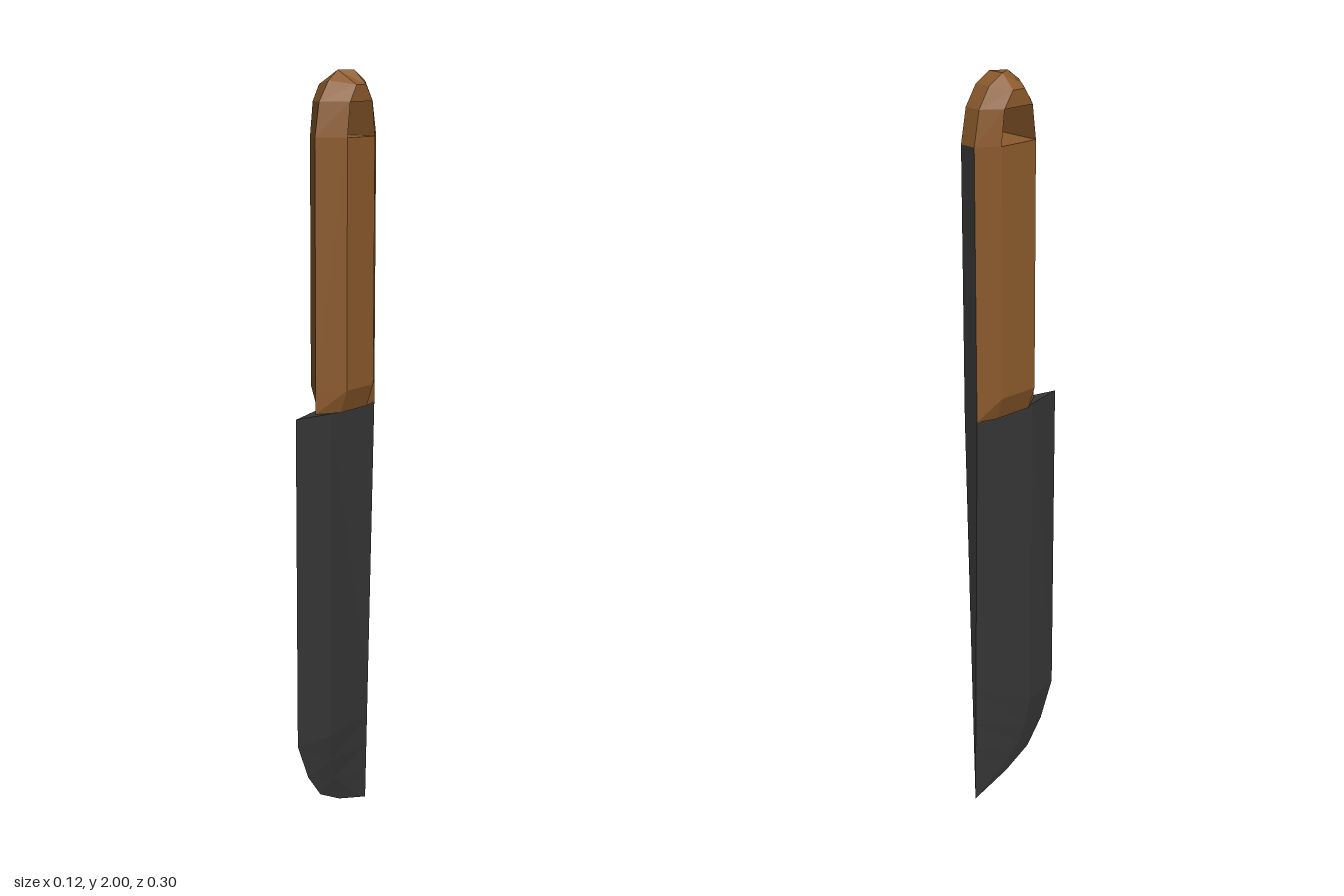
import * as THREE from 'three';

const wood = new THREE.MeshStandardMaterial({ color: 0x8b5a2b, flatShading: true });
const steel = new THREE.MeshStandardMaterial({ color: 0x363636, flatShading: true });

// Moves a point onto the middle plane.
const mid = (p) => [0, p[1], p[2]];

// Builds a mesh from convex polygons of the +x half and their mirror image.
function mirroredMesh(name, material, polygons) {
  const pos = [];
  for (const side of [1, -1]) {
    for (const poly of polygons) {
      const pts = poly.map(([x, y, z]) => [x * side, y, z]);
      if (side < 0) pts.reverse();
      for (let i = 1; i < pts.length - 1; i++) pos.push(...pts[0], ...pts[i], ...pts[i + 1]);
    }
  }
  const geo = new THREE.BufferGeometry();
  geo.setAttribute('position', new THREE.Float32BufferAttribute(pos, 3));
  geo.computeVertexNormals();
  const mesh = new THREE.Mesh(geo, material);
  mesh.name = name;
  return mesh;
}

export function createModel() {
  const group = new THREE.Group();
  group.name = 'knife';

  // Handle outline, up the front, over the rounded end and down the back: [x, y, z]
  const w = 0.023, h = 0.059;
  const O = [
    [0, 1.15, 0.069], [0, 1.21, 0.069], [0, 1.84, 0.069], [0, 1.925, 0.053],
    [0, 1.975, 0.016], [0, 2, -0.02], [w, 2, -0.058], [w, 1.975, -0.1],
    [w, 1.925, -0.132], [w, 1.84, -0.148], [w, 1.21, -0.148], [w, 1.15, -0.148],
  ];
  // Border of the flat side face, matching the outline point by point
  const I = [
    [0.038, 1.15, 0.016], [h, 1.21, 0.016], [h, 1.84, 0.016], [h, 1.925, 0.005],
    [h, 1.965, -0.02], [h, 1.965, -0.02], [h, 1.965, -0.058], [h, 1.965, -0.058],
    [h, 1.925, -0.085], [h, 1.84, -0.095], [h, 1.21, -0.095], [0.038, 1.15, -0.095],
  ];
  const grip = [], tang = [];
  for (let i = 0; i < O.length - 1; i++) {
    // Bevel
    grip.push([O[i], I[i], I[i + 1], O[i + 1]]);
    // Back rim: wood around the end, metal spine below it
    if (i >= 5) (i >= 9 ? tang : grip).push([O[i], O[i + 1], mid(O[i + 1]), mid(O[i])]);
  }
  grip.push(
    // Flat side, below and above the hole
    [I[0], I[11], I[10], I[1]], [I[1], I[10], I[9], I[2]], [I[3], I[8], I[6], I[5]],
    // Hole walls: bottom, top, front, back
    [I[2], I[9], mid(I[9]), mid(I[2])], [mid(I[3]), mid(I[8]), I[8], I[3]],
    [I[3], I[2], mid(I[2]), mid(I[3])], [mid(I[8]), mid(I[9]), I[9], I[8]],
    // Underside
    [mid(O[11]), O[11], I[11], I[0], O[0]],
  );
  group.add(mirroredMesh('handle', wood, grip), mirroredMesh('handleSpine', steel, tang));

  // Blade rows from the handle to the tip: cutting edge, widest line and spine
  const E = [[0, 1.15, 0.148], [0, 0.26, 0.148], [0, 0.155, 0.105], [0, 0.085, 0.053], [0, 0.04, -0.03], [0, 0, -0.148]];
  const R = [[0.026, 1.15, 0.04], [0.024, 0.26, 0.04], [0.016, 0.18, 0.03], [0.009, 0.12, 0.01], [0.004, 0.06, -0.06], [0, 0, -0.148]];
  const S = [1.15, 0.35, 0.25, 0.16, 0.08, 0].map((y) => [w * y / 1.15, y, -0.148]);
  const blade = [[E[0], R[0], S[0], mid(S[0])]];
  for (let i = 0; i < E.length - 1; i++) {
    blade.push([E[i], E[i + 1], R[i + 1], R[i]]);
    blade.push([R[i], R[i + 1], S[i + 1], S[i]]);
    blade.push([S[i], S[i + 1], mid(S[i + 1]), mid(S[i])]);
  }
  group.add(mirroredMesh('blade', steel, blade));

  return group;
}
